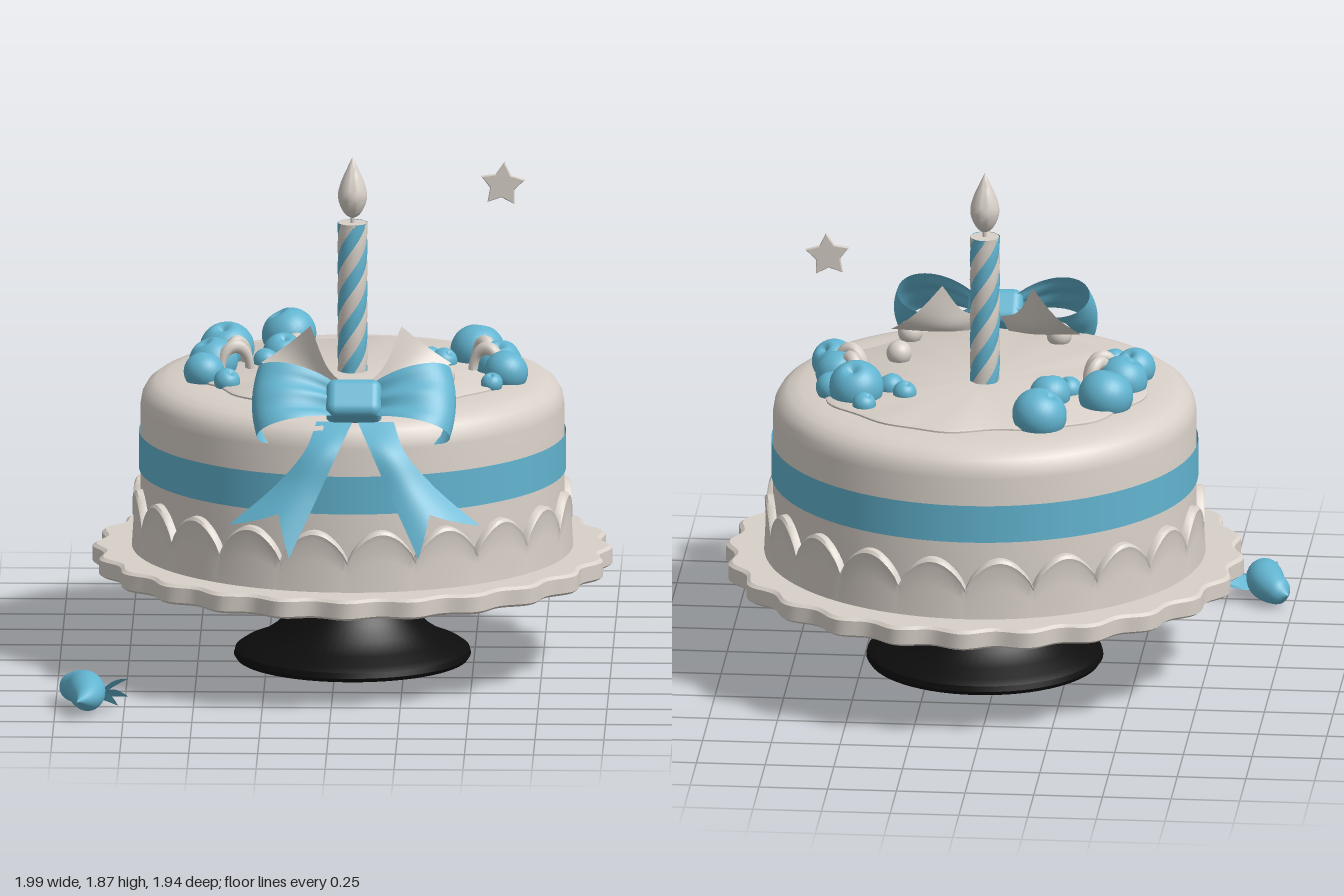
import * as THREE from 'three';
import { toCreasedNormals } from 'three/addons/utils/BufferGeometryUtils.js';
import { RoundedBoxGeometry } from 'three/addons/geometries/RoundedBoxGeometry.js';

const material = (name, color, side = THREE.DoubleSide) => {
  const m = new THREE.MeshStandardMaterial({ color, side });
  m.name = name;
  return m;
};
const V = (x, y, z) => new THREE.Vector3(x, y, z);
const spline = (pts) => new THREE.CatmullRomCurve3(pts.map((p) => V(...p)));

// Surface over u, v in 0..1; faces outward along du x dv
function grid(nu, nv, f, closed = false) {
  const pos = [], idx = [], cols = closed ? nu : nu + 1;
  for (let j = 0; j <= nv; j++)
    for (let i = 0; i < cols; i++) pos.push(...f(i / nu, j / nv));
  for (let j = 0; j < nv; j++)
    for (let i = 0; i < nu; i++) {
      const k = (i + 1) % cols;
      const a = j * cols + i, b = j * cols + k, c = b + cols, d = a + cols;
      idx.push(a, b, c, a, c, d);
    }
  const g = new THREE.BufferGeometry();
  g.setAttribute('position', new THREE.Float32BufferAttribute(pos, 3));
  g.setIndex(idx);
  g.computeVertexNormals();
  return g;
}

// Turned shape from [radius, y] points going upward; shape() may alter a ring
function revolve(profile, nu, shape = (r, y) => [r, y], crease = 0.6) {
  const n = profile.length - 1;
  const g = grid(nu, n, (u, v) => {
    const a = u * Math.PI * 2;
    const [r, y] = shape(...profile[Math.round(v * n)], a);
    return [r * Math.sin(a), y, r * Math.cos(a)];
  }, true);
  return toCreasedNormals(g, crease);
}

// Ribbon between two edge curves, with an optional notch cut in its end
function ribbon(edgeA, edgeB, bulge, notch = 0) {
  const A = spline(edgeA), B = spline(edgeB);
  return grid(12, 16, (u, v) => {
    const t = v * (1 - notch * (1 - Math.abs(2 * u - 1)));
    const p = A.getPoint(t).lerp(B.getPoint(t), u);
    const lift = bulge * Math.sin(Math.PI * u) * t;
    return [p.x, p.y + lift * 0.4, p.z + lift];
  });
}

export function createModel() {
  const white = material('icing white', 0xd8d0c8);
  const blue = material('ribbon blue', 0x62b4d0);
  const black = material('stand black', 0x0d0d0d);
  const model = new THREE.Group();
  model.name = 'birthdayCake';
  const add = (parent, name, geo, mat, x = 0, y = 0, z = 0) => {
    const m = new THREE.Mesh(geo, mat);
    m.name = name;
    m.position.set(x, y, z);
    parent.add(m);
    return m;
  };

  // Stand, plate and cake share one axis
  const cake = new THREE.Group();
  cake.name = 'cakeOnStand';
  cake.position.set(0.06, 0, -0.025);
  model.add(cake);
  add(cake, 'stand', revolve([[0, 0.015], [0.42, 0.015], [0.43, 0.03], [0.425, 0.05], [0.4, 0.067],
    [0.34, 0.09], [0.28, 0.13], [0.235, 0.18], [0.205, 0.215], [0.225, 0.235], [0.24, 0.26],
    [0.245, 0.36], [0, 0.365]], 64), black);
  add(cake, 'plate', revolve([[0, 0.36], [0.985, 0.36], [1, 0.37], [1, 0.425], [0.985, 0.435], [0, 0.435]], 240,
    (r, y, a) => [r * (0.925 + 0.018 * Math.cos(24 * a)), y]), white);
  add(cake, 'cakeBody', revolve([[0.768, 0.43], [0.768, 0.96], [0.762, 0.995], [0.745, 1.025],
    [0.715, 1.047], [0.67, 1.06], [0.6, 1.067], [0, 1.067]], 96), white);
  add(cake, 'ribbonBand', new THREE.CylinderGeometry(0.774, 0.774, 0.14, 96, 1, true), blue, 0, 0.79);

  // Scalloped icing skirt: the upper rows follow a row of arches
  const arch = (a) => 0.55 + 0.11 * Math.pow(Math.abs(Math.sin(10 * a)), 0.75);
  add(cake, 'scallopedSkirt', revolve([[0.8, 0], [0.795, 0.5], [0.793, 0.85], [0.798, 0.94], [0.79, 0.99], [0.765, 1]],
    320, (r, t, a) => [r, 0.435 + t * (arch(a) - 0.435)], 0.8), white);

  // Thin poured icing with an uneven edge
  add(cake, 'topIcing', revolve([[1, 1.06], [1, 1.073], [0.98, 1.079], [0, 1.08]], 120, (r, y, a) =>
    [r * (0.575 + 0.025 * Math.sin(3 * a + 1) + 0.012 * Math.sin(7 * a) + 0.008 * Math.sin(13 * a)), y]), white);

  // Candle built from twisted strips in alternating colours
  const candle = new THREE.Group();
  candle.name = 'candle';
  cake.add(candle);
  const strips = 6;
  for (let s = 0; s < strips; s++) {
    const geo = grid(6, 30, (u, v) => {
      const a = ((s + u) / strips + v * 1.2) * Math.PI * 2;
      const r = 0.052 + 0.003 * Math.sin(Math.PI * u);
      return [r * Math.sin(a), 1.07 + 0.56 * v, r * Math.cos(a)];
    });
    add(candle, 'candleStripe', geo, s % 2 ? blue : white);
  }
  add(candle, 'candleTop', new THREE.CylinderGeometry(0.052, 0.052, 0.01, 32), white, 0, 1.624);
  add(candle, 'wick', new THREE.CylinderGeometry(0.008, 0.008, 0.05, 10), white, 0, 1.65);
  const flame = new THREE.SplineCurve([[0, 1.645], [0.026, 1.66], [0.046, 1.695], [0.053, 1.735],
    [0.04, 1.785], [0.018, 1.835], [0, 1.873]].map((p) => new THREE.Vector2(...p)));
  add(candle, 'flame', revolve(flame.getPoints(30).map((p) => [Math.max(0, p.x), p.y]), 32), white);

  // Berries with a dimpled crown: x, z, radius
  const berryGeo = grid(28, 20, (u, v) => {
    const a = u * Math.PI * 2, f = v * Math.PI, r = Math.sin(f);
    const dent = v > 0.5 ? 0.28 * Math.exp(-Math.pow(r / 0.22, 2)) : 0;
    return [r * Math.sin(a), -Math.cos(f) * 0.95 - dent, r * Math.cos(a)];
  }, true);
  const berries = [[-0.18, -0.48, 0.1], [-0.195, -0.22, 0.075], [-0.255, -0.13, 0.048], [-0.4, -0.245, 0.1],
    [-0.445, -0.05, 0.09], [-0.475, 0.1, 0.075], [-0.39, 0.2, 0.048], [0.47, -0.35, 0.043],
    [0.335, -0.21, 0.043], [0.39, -0.15, 0.048], [0.51, -0.23, 0.1], [0.6, -0.2, 0.06],
    [0.59, -0.05, 0.085], [0.62, 0.08, 0.08], [0.57, 0.2, 0.04]];
  berries.forEach(([x, z, r], i) => {
    const b = add(model, 'berry', berryGeo, blue, x, 1.07 + r * 0.4, z);
    b.scale.setScalar(r);
    b.rotation.set(0.5 * Math.sin(i * 2.3), 0, 0.5 * Math.cos(i * 1.7));
  });

  // Sugar pearls
  for (const [x, z, r] of [[-0.17, 0.43, 0.046], [0.37, 0.41, 0.045], [0.39, 0.175, 0.046], [-0.15, -0.35, 0.038]])
    add(model, 'pearl', new THREE.SphereGeometry(r, 24, 16), white, x, 1.105, z);

  // Curled cream shavings beside the berries
  for (const [x, z, turn] of [[-0.365, 0, 0.3], [-0.36, -0.07, 0.9], [0.55, 0.01, -0.4], [0.54, -0.09, -1]]) {
    const curl = add(model, 'creamCurl', new THREE.TorusGeometry(0.055, 0.017, 8, 20, Math.PI), white, x, 1.09, z);
    curl.scale.set(1, 1.5, 1.5);
    curl.rotation.y = turn;
  }

  // Bow: tilted back over the cake edge
  const bow = new THREE.Group();
  bow.name = 'bow';
  bow.position.set(0.08, 1.11, 0.645);
  bow.rotation.x = -0.73;
  model.add(bow);
  const loopGeo = grid(48, 12, (u, v) => {
    const a = u * Math.PI * 2, out = (1 - Math.cos(a)) / 2, k = 2 * v - 1;
    const w = 0.1 * Math.sin(a) * Math.pow(Math.sin(a / 2), 0.6);
    return [0.05 + out * (0.32 - 0.02 * k * k), k * (0.055 + 0.085 * Math.pow(out, 0.7)),
      w + 0.012 * Math.cos(k * 7) * (1 - out)];
  });
  add(bow, 'bowKnot', new RoundedBoxGeometry(0.2, 0.15, 0.14, 4, 0.035), blue);

  // Ribbon tails and back leaves, mirrored about the knot
  const tailGeo = ribbon([[0.14, 1.05, 0.68], [0.18, 0.96, 0.765], [0.29, 0.83, 0.775], [0.455, 0.69, 0.79]],
    [[0.01, 1.05, 0.69], [0.06, 0.96, 0.79], [0.13, 0.81, 0.835], [0.235, 0.595, 0.925]], 0.035, 0.17);
  const leafGeo = ribbon([[0.03, 1.14, 0.51], [0.1, 1.19, 0.42], [0.165, 1.32, 0.31]],
    [[0.06, 1.09, 0.5], [0.17, 1.12, 0.38], [0.345, 1.17, 0.25]], -0.03);
  for (const side of [1, -1]) {
    add(bow, 'bowLoop', loopGeo, blue).scale.x = side;
    add(model, 'bowTail', tailGeo, blue, 0.085).scale.x = side;
    add(model, 'backLeaf', leafGeo, white, 0.08).scale.x = side;
  }

  // Floating star
  const star = new THREE.Shape();
  for (let i = 0; i < 10; i++) {
    const r = i % 2 ? 0.042 : 0.078, a = Math.PI / 2 + i * Math.PI / 5 - 0.08;
    star[i ? 'lineTo' : 'moveTo'](r * Math.cos(a), r * Math.sin(a));
  }
  star.closePath();
  add(model, 'star', new THREE.ExtrudeGeometry(star, { depth: 0.008, bevelThickness: 0.004, bevelSize: 0.004, bevelSegments: 2 }),
    white, 0.595, 1.68, -0.434);

  // Curved fruit on the ground, with three leaves
  const spine = spline([[-0.985, 0.055, 0.645], [-0.955, 0.058, 0.67], [-0.905, 0.068, 0.73], [-0.885, 0.07, 0.8],
    [-0.885, 0.065, 0.88], [-0.915, 0.07, 0.975]]);
  const girth = new THREE.SplineCurve([0.002, 0.045, 0.064, 0.068, 0.05, 0.003].map((r, i) => new THREE.Vector2(i, r)));
  add(model, 'curvedFruit', grid(24, 32, (u, v) => {
    const p = spine.getPoint(v), T = spine.getTangent(v), r = girth.getPoint(v).y, a = u * Math.PI * 2;
    const S = V(0, 1, 0).cross(T).normalize(), U = T.clone().cross(S);
    p.addScaledVector(S, r * Math.cos(a)).addScaledVector(U, r * Math.sin(a));
    return [p.x, p.y, p.z];
  }, true), blue);
  for (const tip of [[-0.74, 0.09, 0.69], [-0.735, 0.045, 0.775], [-0.77, 0.03, 0.86]]) {
    const path = new THREE.LineCurve3(V(-0.845, 0.05, 0.775), V(...tip));
    add(model, 'fruitLeaf', grid(6, 10, (u, v) => {
      const p = path.getPoint(v), w = (0.04 * Math.sin(Math.PI * (0.25 + 0.75 * v))) * (u - 0.5);
      return [p.x + w * 0.3, p.y + w + 0.01 * Math.sin(Math.PI * v), p.z + w * 1.2];
    }), blue);
  }
  return model;
}
